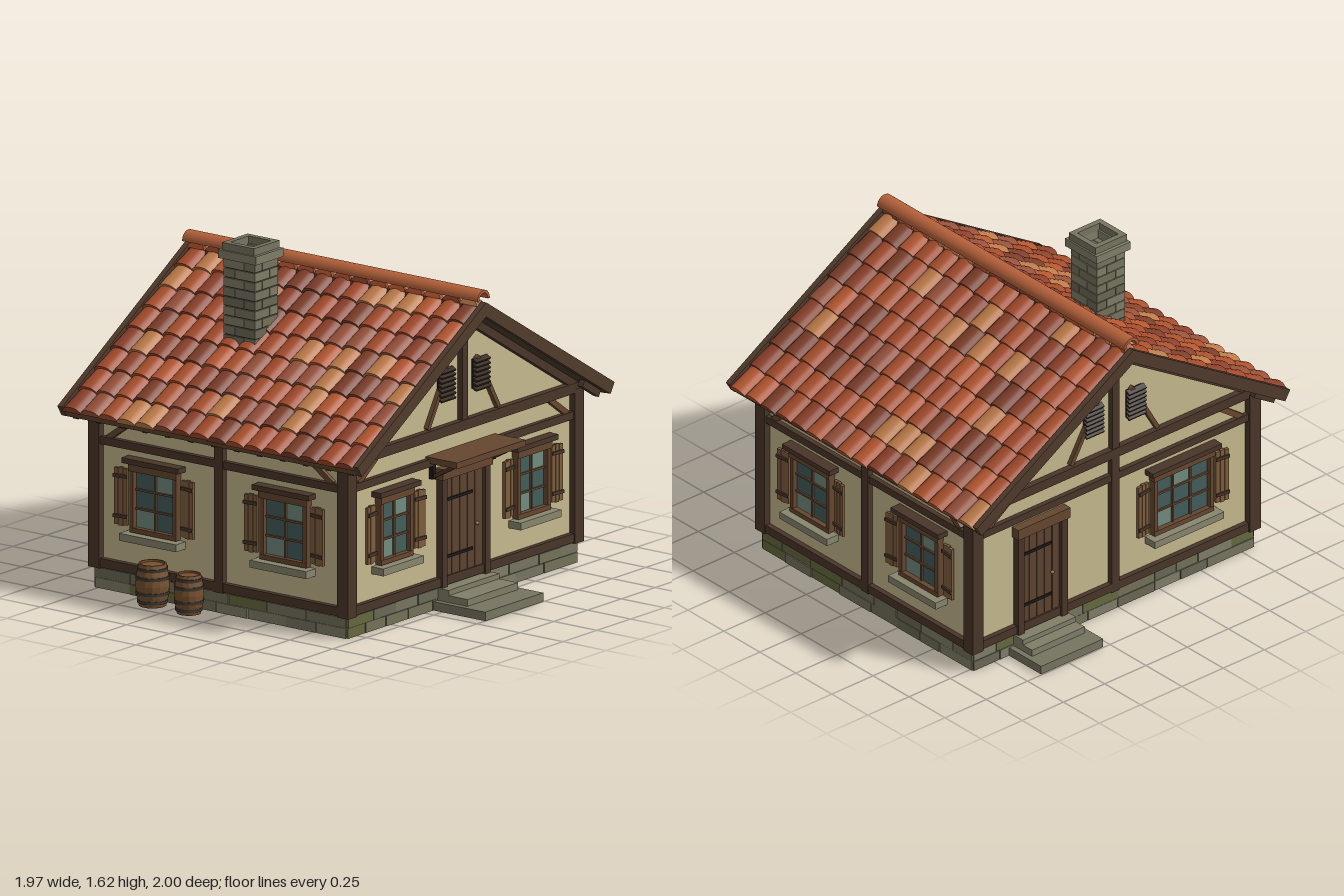
import * as THREE from 'three';
import { mergeGeometries } from 'three/addons/utils/BufferGeometryUtils.js';

const TIMBER = 0x4a3629, OAK = 0x66472f, PLANK = 0x7f5e3e, IRON = 0x1c1a18, CREAM = 0xc6ba8e;
const STONES = [0x77745f, 0x6b6956, 0x817e68, 0x747159, 0x66693f];
const TILES = [0xa34a2a, 0xb5562f, 0x8c4029, 0x96503a, 0xbd7a48, 0x7d3d28, 0xa9502c];
const WX = 0.842, WZ = 0.722; // half sizes of the plastered body

const mats = {};
const mat = (color, extra = {}) => mats[color + JSON.stringify(extra)] ??=
  new THREE.MeshStandardMaterial({ color, ...extra });

let seed = 7;
const rnd = () => (seed = (seed * 16807) % 2147483647) / 2147483647;
const pick = (list) => list[Math.floor(rnd() * list.length)];

function mesh(parent, name, geo, color, extra) {
  const m = new THREE.Mesh(geo, mat(color, extra));
  m.name = name;
  parent.add(m);
  return m;
}
function group(parent, name, x = 0, y = 0, z = 0) {
  const g = new THREE.Group();
  g.name = name;
  g.position.set(x, y, z);
  parent.add(g);
  return g;
}
// Box given by its limits on each axis
function box(parent, name, color, x0, x1, y0, y1, z0, z1) {
  const m = mesh(parent, name, new THREE.BoxGeometry(x1 - x0, y1 - y0, z1 - z0), color);
  m.position.set((x0 + x1) / 2, (y0 + y1) / 2, (z0 + z1) / 2);
  return m;
}
// Slanted bar between two points in the wall plane
function bar(parent, name, color, [ax, ay], [bx, by], w, depth, z = depth / 2) {
  const m = mesh(parent, name, new THREE.BoxGeometry(Math.hypot(bx - ax, by - ay), w, depth), color);
  m.position.set((ax + bx) / 2, (ay + by) / 2, z);
  m.rotation.z = Math.atan2(by - ay, bx - ax);
  return m;
}

// Window with panes, sill, hood and a pair of planked shutters
function addWindow(wall, u, w, cols) {
  const g = group(wall, 'window', u), h = w / 2, rows = 3, y0 = 0.325, y1 = 0.595;
  const pw = (w - 0.04) / cols, ph = (y1 - y0) / rows;
  for (let c = 0; c < cols; c++) for (let r = 0; r < rows; r++) {
    const x = -h + 0.02 + c * pw, y = y0 + r * ph;
    const light = (c + r * 2) % 5 === 0;
    box(g, 'pane', light ? 0x718c80 : 0x435e5b, x, x + pw, y, y + ph, 0, 0.008);
  }
  for (let c = 1; c < cols; c++) box(g, 'mullion', OAK, -h + 0.015 + c * pw, -h + 0.025 + c * pw, y0, y1, 0, 0.018);
  for (let r = 1; r < rows; r++) box(g, 'glazingBar', OAK, -h, h, y0 + r * ph - 0.005, y0 + r * ph + 0.005, 0, 0.016);
  for (const s of [-1, 1]) {
    box(g, 'jamb', OAK, s * (h - 0.01) - 0.011, s * (h - 0.01) + 0.011, 0.305, 0.625, 0, 0.032);
    const sh = group(g, 'shutter', s * (h + 0.06), 0, 0.012);
    sh.rotation.y = -s * 0.12;
    for (let i = -1; i <= 1; i++) box(sh, 'shutterPlank', PLANK, i * 0.024 - 0.011, i * 0.024 + 0.011,
      0.322 + 0.004 * i * i, 0.598 - 0.004 * i * i, 0, 0.014);
    for (const y of [0.36, 0.55]) box(sh, 'shutterBatten', TIMBER, -0.037, 0.037, y, y + 0.016, 0.012, 0.022);
  }
  box(g, 'bottomRail', OAK, -h, h, 0.303, 0.326, 0, 0.034);
  box(g, 'lintel', OAK, -h - 0.005, h + 0.005, 0.593, 0.625, 0, 0.038);
  box(g, 'hood', TIMBER, -h - 0.03, h + 0.03, 0.63, 0.655, 0, 0.055);
  box(g, 'windowSill', 0x89866e, -h - 0.03, h + 0.03, 0.265, 0.3, -0.01, 0.07);
}

// Planked door with frame, iron straps, knob and stone steps
function addDoor(wall, u, w, reach) {
  const g = group(wall, 'door', u), h = w / 2, n = 5, leaf = w - 0.07, pw = leaf / n;
  for (let i = 0; i < n; i++) box(g, 'doorPlank', 0x5d4431, -leaf / 2 + i * pw + 0.002, -leaf / 2 + (i + 1) * pw - 0.002, 0.12, 0.62, 0, 0.018);
  box(g, 'doorBack', IRON, -leaf / 2, leaf / 2, 0.12, 0.62, 0, 0.012);
  for (const s of [-1, 1]) box(g, 'doorJamb', TIMBER, s * (h - 0.018) - 0.018, s * (h - 0.018) + 0.018, 0.1, 0.62, 0, 0.036);
  box(g, 'doorLintel', OAK, -h - 0.008, h + 0.008, 0.612, 0.665, 0, 0.045);
  for (const y of [0.23, 0.5]) box(g, 'strapHinge', IRON, -leaf / 2 + 0.01, 0.065, y, y + 0.014, 0.016, 0.024);
  mesh(g, 'doorKnob', new THREE.SphereGeometry(0.009, 10, 8), 0x9a7b45).position.set(leaf / 2 - 0.05, 0.35, 0.026);
  box(g, 'threshold', 0x817e68, -h - 0.01, h + 0.01, 0.075, 0.1, -0.02, 0.08);
  box(g, 'upperStep', 0x817e68, -h - 0.01, h + 0.01, 0.04, 0.075, -0.02, reach * 0.6);
  box(g, 'lowerStep', 0x77745f, -h - 0.038, h + 0.038, 0, 0.042, -0.02, reach);
}

// Wall frame: local x along the wall, +z outward
function makeWall(house, name, angle, half, dist) {
  const wall = group(house, name, Math.sin(angle) * dist, 0, Math.cos(angle) * dist);
  wall.rotation.y = angle;
  box(wall, 'groundBeam', TIMBER, -half, half, 0.105, 0.147, -0.01, 0.026);
  box(wall, 'midRail', TIMBER, -half, half, 0.688, 0.725, -0.01, 0.024);
  for (const s of [-1, 1]) bar(wall, 'cornerBrace', OAK, [s * (half - 0.07), 0.722], [s * (half - 0.2), 0.815], 0.028, 0.02);
  // Two courses of foundation stones
  for (let row = 0; row < 2; row++) {
    let x = -half - 0.008;
    while (x < half) {
      let end = x + 0.13 + rnd() * 0.1;
      if (half - end < 0.08) end = half + 0.008;
      box(wall, 'foundationStone', pick(STONES), x + 0.002, end - 0.002, row * 0.05 + 0.001, row * 0.05 + 0.049, -0.04, 0.012 + rnd() * 0.005);
      x = end;
    }
  }
  return wall;
}

function addGable(wall) {
  box(wall, 'tieBeam', TIMBER, -WX - 0.03, WX + 0.03, 0.812, 0.86, -0.01, 0.032);
  box(wall, 'kingPost', TIMBER, -0.021, 0.021, 0.86, 1.35, -0.01, 0.028);
  for (const s of [-1, 1]) {
    bar(wall, 'rakeTimber', TIMBER, [s * 0.86, 0.828], [0, 1.353], 0.046, 0.03);
    bar(wall, 'gableStrut', OAK, [s * 0.262, 0.865], [s * 0.105, 1.135], 0.022, 0.022);
    box(wall, 'ventBack', IRON, s * 0.128 - 0.046, s * 0.128 + 0.046, 0.985, 1.125, 0, 0.014);
    for (let i = 0; i < 7; i++) {
      const slat = box(wall, 'ventSlat', 0x37291f, s * 0.128 - 0.053, s * 0.128 + 0.053, 0.982 + i * 0.022, 0.992 + i * 0.022, 0.008, 0.036);
      slat.rotation.x = 0.5;
    }
  }
}

// One roof slope: local x runs down from the ridge, local y is its normal
function makeSlope(house, turn) {
  const side = group(house, 'roofSide');
  side.rotation.y = turn;
  const slope = group(side, 'roofSlope', 0, 1.435, 0), L = 1.113;
  slope.rotation.z = -Math.atan2(0.58, 0.95);
  box(slope, 'roofDeck', 0x4b392b, 0, L - 0.01, -0.055, -0.03, -0.86, 0.86);
  for (const s of [-1, 1]) box(slope, 'bargeboard', 0x513b2c, 0, L, -0.058, 0, s * 0.858 - 0.0145, s * 0.858 + 0.0145);
  box(slope, 'fascia', OAK, L - 0.025, L - 0.002, -0.06, -0.015, -0.845, 0.845);
  for (let i = 0; i < 13; i++) box(slope, 'rafterTail', TIMBER, L - 0.16, L - 0.02, -0.088, -0.05, -0.8 + i * 0.1333, -0.77 + i * 0.1333);
  // Half-round tiles grouped by colour
  const cols = 16, rows = 8, pitch = 1.69 / cols, step = L / rows, bins = TILES.map(() => []);
  for (let c = 0; c < cols; c++) for (let r = 0; r < rows; r++) {
    const len = step + 0.025;
    const t = new THREE.CylinderGeometry(0.055, 0.05, len, 8, 1, false, Math.PI, Math.PI);
    t.rotateZ(-Math.PI / 2).scale(1, 0.62, 1).rotateZ(0.07);
    t.translate((r + 1) * step - len / 2 + 0.008 + (rnd() - 0.5) * 0.008, -0.027, -0.845 + (c + 0.5) * pitch);
    const i = Math.floor(rnd() * TILES.length);
    bins[i === 4 && rnd() < 0.5 ? 0 : i].push(t);
  }
  bins.forEach((b, i) => b.length && mesh(slope, 'roofTiles', mergeGeometries(b), TILES[i], { side: THREE.DoubleSide }));
}

function addChimney(house) {
  const ch = group(house, 'chimney', -0.36, 0, -0.212);
  const ring = (name, color, hx, hz, y0, y1, t) => {
    for (const s of [-1, 1]) {
      box(ch, name, color, s * (hx - t / 2) - t / 2, s * (hx - t / 2) + t / 2, y0, y1, -hz, hz);
      box(ch, name, color, -hx + t, hx - t, y0, y1, s * (hz - t / 2) - t / 2, s * (hz - t / 2) + t / 2);
    }
  };
  box(ch, 'chimneyCore', 0x4c4a3e, -0.08, 0.08, 1.0, 1.54, -0.085, 0.085);
  // Staggered stone courses
  for (let i = 0; i < 11; i++) {
    const y = 1.05 + i * 0.045, cut = i % 2 ? 0.025 : -0.03;
    for (const [a, b] of [[-0.087, cut], [cut, 0.087]]) for (const [c, d] of [[-0.092, -cut], [-cut, 0.092]])
      box(ch, 'chimneyStone', pick(STONES.slice(0, 4)), a + 0.0015, b - 0.0015, y + 0.002, y + 0.043, c + 0.0015, d - 0.0015);
  }
  ring('chimneyCap', 0x817e68, 0.103, 0.11, 1.545, 1.585, 0.045);
  ring('chimneyRim', 0x77745f, 0.095, 0.093, 1.585, 1.62, 0.028);
}

function addBarrel(house, x, z, r, h) {
  const b = group(house, 'barrel', x, 0, z);
  const pts = [[0, 0], [0.8, 0], [0.94, 0.25], [1, 0.5], [0.94, 0.75], [0.8, 1], [0.7, 1], [0.7, 0.95], [0, 0.95]];
  mesh(b, 'staves', new THREE.LatheGeometry(pts.map(([a, c]) => new THREE.Vector2(a * r, c * h)), 14), 0x76512f, { flatShading: true });
  for (const [y, k] of [[0.12, 0.885], [0.32, 0.98], [0.68, 0.98], [0.88, 0.885]])
    mesh(b, 'hoop', new THREE.CylinderGeometry(k * r + 0.002, k * r + 0.002, 0.014, 14), 0x3b3733).position.y = y * h;
}

export function createModel() {
  seed = 7;
  const model = new THREE.Group();
  model.name = 'cottage';
  const house = group(model, 'house', 0.027, 0, -0.036);

  // Plastered body with gables, on its foundation
  const profile = new THREE.Shape([[-WX, 0.09], [WX, 0.09], [WX, 0.85], [0, 1.365], [-WX, 0.85]].map((p) => new THREE.Vector2(...p)));
  mesh(house, 'plasterWalls', new THREE.ExtrudeGeometry(profile, { depth: 2 * WZ, bevelEnabled: false }), CREAM).position.z = -WZ;
  box(house, 'foundationCore', 0x4c4a3e, -WX, WX, 0, 0.1, -WZ, WZ);
  for (const sx of [-1, 1]) for (const sz of [-1, 1])
    box(house, 'cornerPost', TIMBER, sx * 0.84 - 0.033, sx * 0.84 + 0.033, 0.1, 0.83, sz * 0.723 - 0.033, sz * 0.723 + 0.033);

  // Front: door under a canopy between two windows
  const front = makeWall(house, 'frontWall', 0, WX, WZ);
  addGable(front);
  addDoor(front, 0, 0.355, 0.314);
  for (const s of [-1, 1]) {
    addWindow(front, s * 0.508, 0.24, 2);
    box(front, 'canopyBracket', IRON, s * 0.222 - 0.011, s * 0.222 + 0.011, 0.625, 0.705, 0, 0.025);
    const arm = box(front, 'canopyArm', TIMBER, s * 0.222 - 0.01, s * 0.222 + 0.01, 0.66, 0.678, 0.005, 0.155);
    arm.rotation.x = -0.5;
  }
  box(front, 'doorCanopy', OAK, -0.256, 0.256, 0.705, 0.735, 0, 0.18);

  // Back: offset door and a wider window
  const back = makeWall(house, 'backWall', Math.PI, WX, WZ);
  addGable(back);
  box(back, 'middlePost', TIMBER, -0.023, 0.023, 0.1, 0.83, -0.01, 0.028);
  addDoor(back, -0.448, 0.3, 0.237);
  addWindow(back, 0.41, 0.36, 3);

  // Side walls
  for (const s of [1, -1]) {
    const wall = makeWall(house, s > 0 ? 'leftWall' : 'rightWall', s * Math.PI / 2, WZ, WX);
    box(wall, 'wallPlate', TIMBER, -WZ, WZ, 0.8, 0.845, -0.01, 0.026);
    box(wall, 'middlePost', TIMBER, -0.025, 0.025, 0.1, 0.82, -0.01, 0.028);
    for (const u of [-0.378, 0.378]) addWindow(wall, u, 0.27, 2);
  }

  // Roof with a half-round ridge cap
  makeSlope(house, 0);
  makeSlope(house, Math.PI);
  const arch = new THREE.Shape();
  arch.absarc(0, 0, 0.046, 0, Math.PI, false);
  arch.absarc(0, 0, 0.032, Math.PI, 0, true);
  mesh(house, 'ridgeCap', new THREE.ExtrudeGeometry(arch, { depth: 1.715, bevelEnabled: false, curveSegments: 10 }), 0xb5613a).position.set(0, 1.445, -0.8575);
  addChimney(house);
  addBarrel(house, -0.932, -0.334, 0.08, 0.2);
  addBarrel(house, -0.937, -0.119, 0.07, 0.185);
  return model;
}
